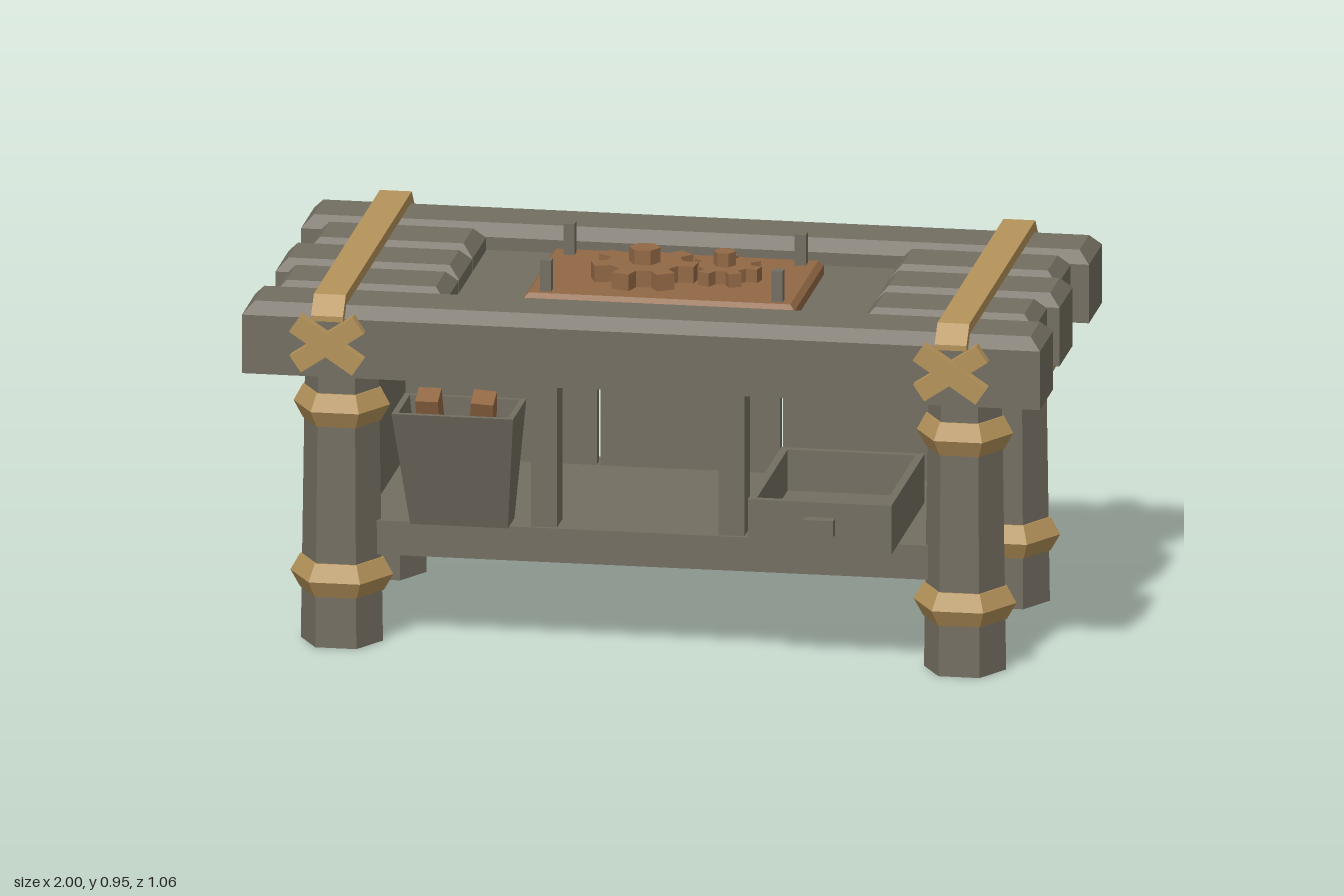
import * as THREE from 'three';

const gray = new THREE.MeshStandardMaterial({ color: 0x736e61 });
gray.name = 'weathered gray';
const gold = new THREE.MeshStandardMaterial({ color: 0xb5935a });
gold.name = 'brass';
const copper = new THREE.MeshStandardMaterial({ color: 0x926845 });
copper.name = 'copper';

// Hard-edged normals for every face
function flat(geo) {
  const g = geo.index ? geo.toNonIndexed() : geo;
  g.computeVertexNormals();
  return g;
}

// Solid skinned over stacked rectangles [x0, x1, z0, z1, y]
function loft(loops) {
  const pos = [], idx = [];
  for (const [x0, x1, z0, z1, y] of loops) {
    pos.push(x0, y, z1, x1, y, z1, x1, y, z0, x0, y, z0);
  }
  for (let r = 0; r < loops.length - 1; r++) {
    for (let i = 0; i < 4; i++) {
      const a = r * 4 + i, b = r * 4 + (i + 1) % 4;
      idx.push(a, b, b + 4, a, b + 4, a + 4);
    }
  }
  const t = (loops.length - 1) * 4;
  idx.push(0, 2, 1, 0, 3, 2, t, t + 1, t + 2, t, t + 2, t + 3);
  const g = new THREE.BufferGeometry();
  g.setAttribute('position', new THREE.Float32BufferAttribute(pos, 3));
  g.setIndex(idx);
  return g;
}

// Gear outline laid flat, extruded upward
function gearGeometry(teeth, rootR, tipR, height, turn) {
  const shape = new THREE.Shape();
  const step = (Math.PI * 2) / teeth;
  for (let i = 0; i < teeth; i++) {
    [[-0.28, rootR], [-0.2, tipR], [0.2, tipR], [0.28, rootR]].forEach(([f, r], k) => {
      const a = turn + (i + f) * step;
      const x = Math.cos(a) * r, y = Math.sin(a) * r;
      if (i === 0 && k === 0) shape.moveTo(x, y);
      else shape.lineTo(x, y);
    });
  }
  shape.closePath();
  return new THREE.ExtrudeGeometry(shape, { depth: height, bevelEnabled: false }).rotateX(-Math.PI / 2);
}

export function createModel() {
  const model = new THREE.Group();
  model.name = 'workbench';

  function add(name, geo, mat, x = 0, y = 0, z = 0) {
    const m = new THREE.Mesh(flat(geo), mat);
    m.name = name;
    m.position.set(x, y, z);
    model.add(m);
    return m;
  }
  // Box from its limits
  function box(name, mat, x0, x1, y0, y1, z0, z1) {
    return add(name, new THREE.BoxGeometry(x1 - x0, y1 - y0, z1 - z0), mat,
      (x0 + x1) / 2, (y0 + y1) / 2, (z0 + z1) / 2);
  }

  // Table top: planks with chamfered upper edges, middle ones cut for the recess
  const planks = [
    ['frontPlank', -1, 1, 0.3, 0.493],
    ['backPlank', -0.99, 0.985, -0.502, -0.31],
    ['shortPlank', -0.955, -0.525, 0.098, 0.293],
    ['shortPlank', 0.52, 0.95, 0.098, 0.293],
    ['shortPlank', -0.985, -0.525, -0.102, 0.091],
    ['shortPlank', 0.52, 0.98, -0.102, 0.091],
    ['shortPlank', -0.94, -0.525, -0.304, -0.109],
    ['shortPlank', 0.52, 0.94, -0.304, -0.109],
  ];
  for (const [name, x0, x1, z0, z1] of planks) {
    const c = 0.028;
    add(name, loft([
      [x0, x1, z0, z1, 0.72],
      [x0, x1, z0, z1, 0.87],
      [x0 + c, x1 - c, z0 + c, z1 - c, 0.9],
    ]), gray);
  }
  box('recessFloor', gray, -0.53, 0.53, 0.834, 0.837, -0.311, 0.301);

  // Copper plate, corner pegs and gears
  add('copperPlate', loft([
    [-0.345, 0.335, -0.225, 0.205, 0.837],
    [-0.345, 0.335, -0.225, 0.205, 0.862],
    [-0.333, 0.323, -0.213, 0.193, 0.876],
  ]), copper);
  for (const x of [-0.293, 0.287]) {
    for (const z of [0.164, -0.176]) box('peg', gray, x - 0.014, x + 0.014, 0.87, 0.955, z - 0.014, z + 0.014);
  }
  add('largeGear', gearGeometry(7, 0.094, 0.133, 0.044, 0.8), copper, -0.073, 0.874, 0.008);
  add('largeGearHub', new THREE.CylinderGeometry(0.04, 0.04, 0.08, 6).rotateY(Math.PI / 6), copper, -0.073, 0.915, 0.012);
  add('smallGear', gearGeometry(7, 0.066, 0.094, 0.036, Math.PI / 2), copper, 0.122, 0.874, -0.022);
  add('smallGearHub', new THREE.CylinderGeometry(0.028, 0.028, 0.07, 6).rotateY(Math.PI / 6), copper, 0.122, 0.91, -0.02);

  // Hexagonal legs with two brass collars each
  const hex = Math.PI / 6;
  const collar = (y, r, core) => new THREE.LatheGeometry(
    [[0.07, y - 0.042], [core, y - 0.042], [r, y], [core, y + 0.043], [0.07, y + 0.043]]
      .map(([a, b]) => new THREE.Vector2(a, b)), 6).rotateY(hex);
  for (const x of [-0.78, 0.782]) {
    for (const z of [0.315, -0.323]) {
      add('leg', new THREE.CylinderGeometry(0.092, 0.103, 0.73, 6).rotateY(hex), gray, x, 0.365, z);
      add('lowerCollar', collar(0.172, 0.129, 0.105), gold, x, 0, z);
      add('upperCollar', collar(0.607, 0.121, 0.098), gold, x, 0, z);
    }
  }

  // Cabinet: bottom board with walls set in from its rim, gapped back boards, front posts
  box('bottomBoard', gray, -0.78, 0.78, 0.225, 0.312, -0.34, 0.33);
  for (const s of [-1, 1]) {
    const x = s * 0.735;
    box('sideWall', gray, x - 0.015, x + 0.015, 0.312, 0.725, -0.29, 0.3);
  }
  for (const [x0, x1] of [[-0.735, -0.24], [-0.231, 0.219], [0.227, 0.735]]) {
    box('backBoard', gray, x0, x1, 0.312, 0.725, -0.29, -0.26);
  }
  for (const x of [-0.305, 0.165]) box('frontPost', gray, x, x + 0.065, 0.312, 0.725, 0.24, 0.32);

  // Tapered open bin holding leaning copper bars
  add('bin', loft([
    [-0.602, -0.357, 0.26, 0.355, 0.314],
    [-0.632, -0.327, 0.26, 0.455, 0.622],
    [-0.617, -0.342, 0.273, 0.44, 0.622],
    [-0.589, -0.37, 0.273, 0.345, 0.33],
  ]), gray);
  for (const [x, tilt] of [[-0.547, 0.01], [-0.42, -0.07]]) {
    const bar = add('copperBar', new THREE.BoxGeometry(0.057, 0.29, 0.06), copper, x, 0.525, 0.35);
    bar.rotation.set(0.36, 0, tilt);
  }

  // Pulled-out drawer
  add('drawer', loft([
    [0.258, 0.618, -0.05, 0.435, 0.315],
    [0.258, 0.618, -0.05, 0.435, 0.44],
    [0.278, 0.598, -0.03, 0.415, 0.44],
    [0.278, 0.598, -0.03, 0.415, 0.335],
  ]), gray);
  box('drawerKnob', gray, 0.402, 0.477, 0.36, 0.402, 0.43, 0.465);

  // Brass straps over the top, crossed on the front
  const outline = [[0.515, 0.868], [0.515, 0.882], [0.473, 0.927], [-0.489, 0.927], [-0.528, 0.885],
    [-0.528, 0.737], [-0.502, 0.737], [-0.502, 0.872], [-0.474, 0.899], [0.465, 0.899], [0.492, 0.868]];
  const strap = new THREE.Shape(outline.map(([z, y]) => new THREE.Vector2(-z, y)));
  for (const x of [-0.783, 0.78]) {
    const g = new THREE.ExtrudeGeometry(strap, { depth: 0.08, bevelEnabled: false });
    add('strap', g.rotateY(Math.PI / 2), gold, x - 0.04);
    [[0.59, 0.505], [-0.59, 0.514]].forEach(([turn, z]) => {
      add('crossBar', new THREE.BoxGeometry(0.19, 0.05, 0.032), gold, x, 0.81, z).rotation.z = turn;
    });
  }
  return model;
}
